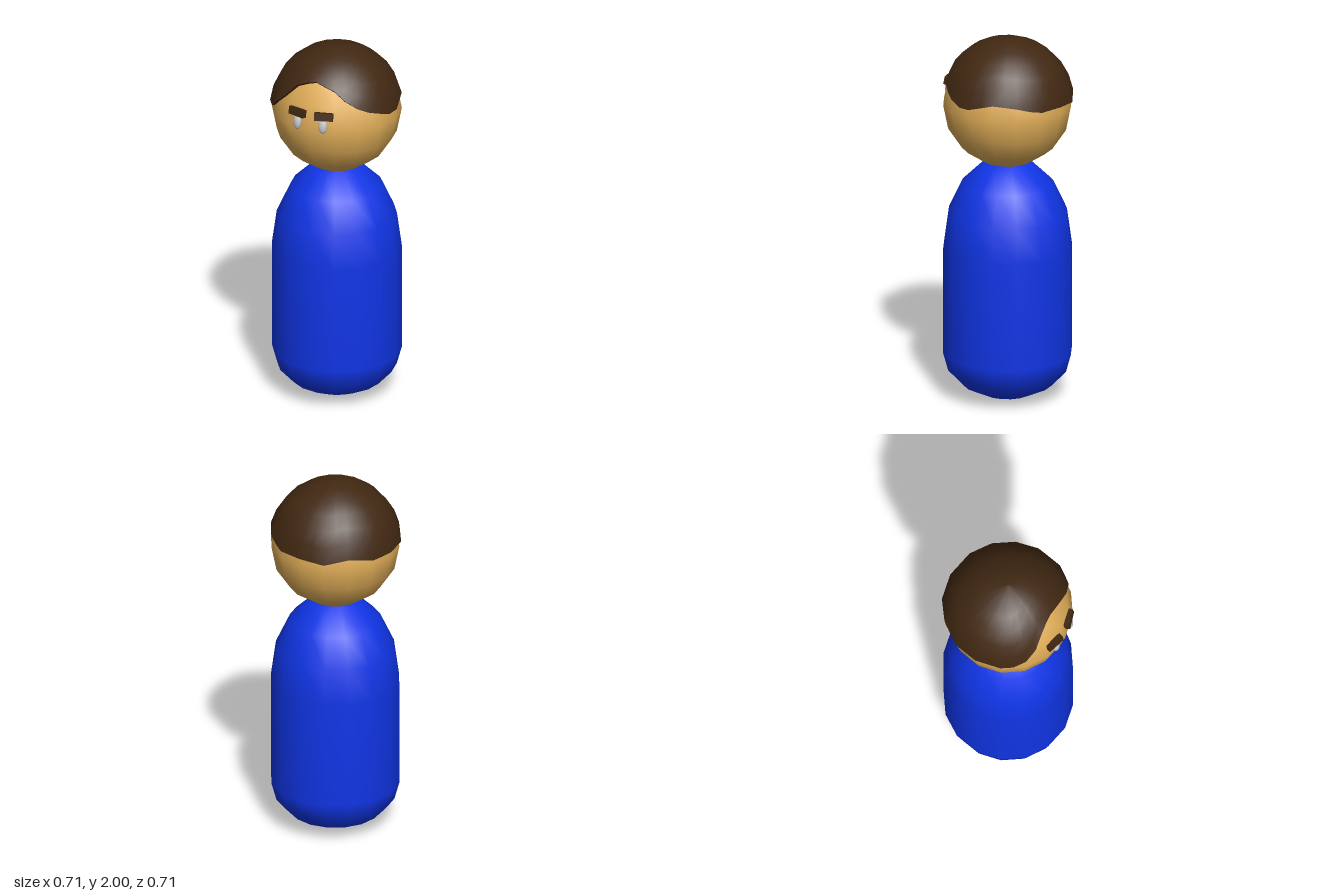
import * as THREE from 'three';

const HEAD_Y = 1.645, HEAD_R = 0.345, HAIR_R = 0.355;
const SEGMENTS = 16;

const paint = (color) => new THREE.MeshStandardMaterial({ color });

function addMesh(parent, name, geometry, material) {
  const mesh = new THREE.Mesh(geometry, material);
  mesh.name = name;
  parent.add(mesh);
  return mesh;
}

// Hairline height by azimuth in degrees (0 = front, positive = model's left)
const HAIRLINE = [
  [-180, 1.685], [-157, 1.67], [-135, 1.70], [-110, 1.67], [-90, 1.675], [-56, 1.672],
  [-36, 1.765], [-21, 1.865], [0, 1.89], [22, 1.86], [38, 1.79], [54, 1.74], [64, 1.725],
  [78, 1.69], [90, 1.695], [113, 1.733], [135, 1.717], [153, 1.685], [180, 1.685],
];

function hairlineAt(deg) {
  const i = Math.max(1, HAIRLINE.findIndex(([a]) => a >= deg));
  const [a0, y0] = HAIRLINE[i - 1], [a1, y1] = HAIRLINE[i];
  return y0 + (y1 - y0) * (deg - a0) / (a1 - a0);
}

// Closed loops of points, each joined to the next; a radius of rows gives a smooth skin
function skinLoops(loops) {
  const columns = loops[0].length, index = [];
  for (let r = 0; r < loops.length - 1; r++) {
    for (let c = 0; c < columns; c++) {
      const a = r * columns + c, b = r * columns + (c + 1) % columns;
      index.push(a, a + columns, b, b, a + columns, b + columns);
    }
  }
  const geometry = new THREE.BufferGeometry().setFromPoints(loops.flat());
  geometry.setIndex(index);
  geometry.computeVertexNormals();
  return geometry;
}

// One loop of the hair cap, at a fraction of the way from crown to hairline
function hairLoop(fraction, radius) {
  const columns = SEGMENTS * 2, loop = [];
  for (let c = 0; c < columns; c++) {
    const deg = -180 + 360 * c / columns, azimuth = THREE.MathUtils.degToRad(deg);
    const polar = fraction * Math.acos((hairlineAt(deg) - HEAD_Y) / HAIR_R);
    // Every second column lies on the chord, keeping a 16-sided outline
    const ring = radius * Math.sin(polar) * (c % 2 ? Math.cos(Math.PI / SEGMENTS) : 1);
    loop.push(new THREE.Vector3(
      ring * Math.sin(azimuth), HEAD_Y + radius * Math.cos(polar), ring * Math.cos(azimuth)));
  }
  return loop;
}

export function createModel() {
  const model = new THREE.Group();
  model.name = 'pegFigure';
  const skin = paint(0xe0ad58), cloth = paint(0x1035e6), brown = paint(0x412812);
  const white = paint(0xcccccc);

  // Body: shallow rounded base, straight sides, tall rounded shoulders
  const profile = [];
  for (let i = 0; i <= 4; i++) {
    const t = (i / 4 - 1) * Math.PI / 2;
    profile.push(new THREE.Vector2(HEAD_R * Math.cos(t), 0.25 + 0.25 * Math.sin(t)));
  }
  for (let i = 0; i <= 4; i++) {
    const t = (i / 4) * Math.PI / 2;
    profile.push(new THREE.Vector2(HEAD_R * Math.cos(t), 0.84 + 0.5 * Math.sin(t)));
  }
  profile[0].x = profile[9].x = 0;
  addMesh(model, 'body', new THREE.LatheGeometry(profile, SEGMENTS), cloth);

  // Head
  const head = addMesh(model, 'head', new THREE.SphereGeometry(HEAD_R, SEGMENTS, 8), skin);
  head.position.y = HEAD_Y - 0.003;

  // Hair: cap with a wavy hairline and a thin underside rim
  const hair = new THREE.Group();
  hair.name = 'hair';
  model.add(hair);
  const rows = [0, 1, 2, 3, 4, 5, 6].map((r) => hairLoop(r / 6, HAIR_R));
  addMesh(hair, 'hairCap', skinLoops(rows), brown);
  const rim = skinLoops([hairLoop(1, HAIR_R), hairLoop(1, HEAD_R - 0.02)]);
  addMesh(hair, 'hairRim', rim, brown).material = new THREE.MeshStandardMaterial({
    color: 0x412812, side: THREE.DoubleSide });

  // Eyes and eyebrows, turned to follow the face
  for (const [side, s] of [['left', 1], ['right', -1]]) {
    const eye = addMesh(model, side + 'Eye', new THREE.SphereGeometry(1, 12, 8), white);
    eye.scale.set(0.024, 0.045, 0.018);
    eye.position.set(s * 0.074, 1.68, 0.332);
    eye.rotation.set(-0.08, s * 0.22, 0, 'YXZ');

    const brow = addMesh(model, side + 'Eyebrow', new THREE.BoxGeometry(0.1, 0.042, 0.028), brown);
    brow.position.set(s * 0.077, 1.73, 0.325);
    brow.rotation.set(-0.2, s * 0.3, 0, 'YXZ');
  }
  return model;
}
